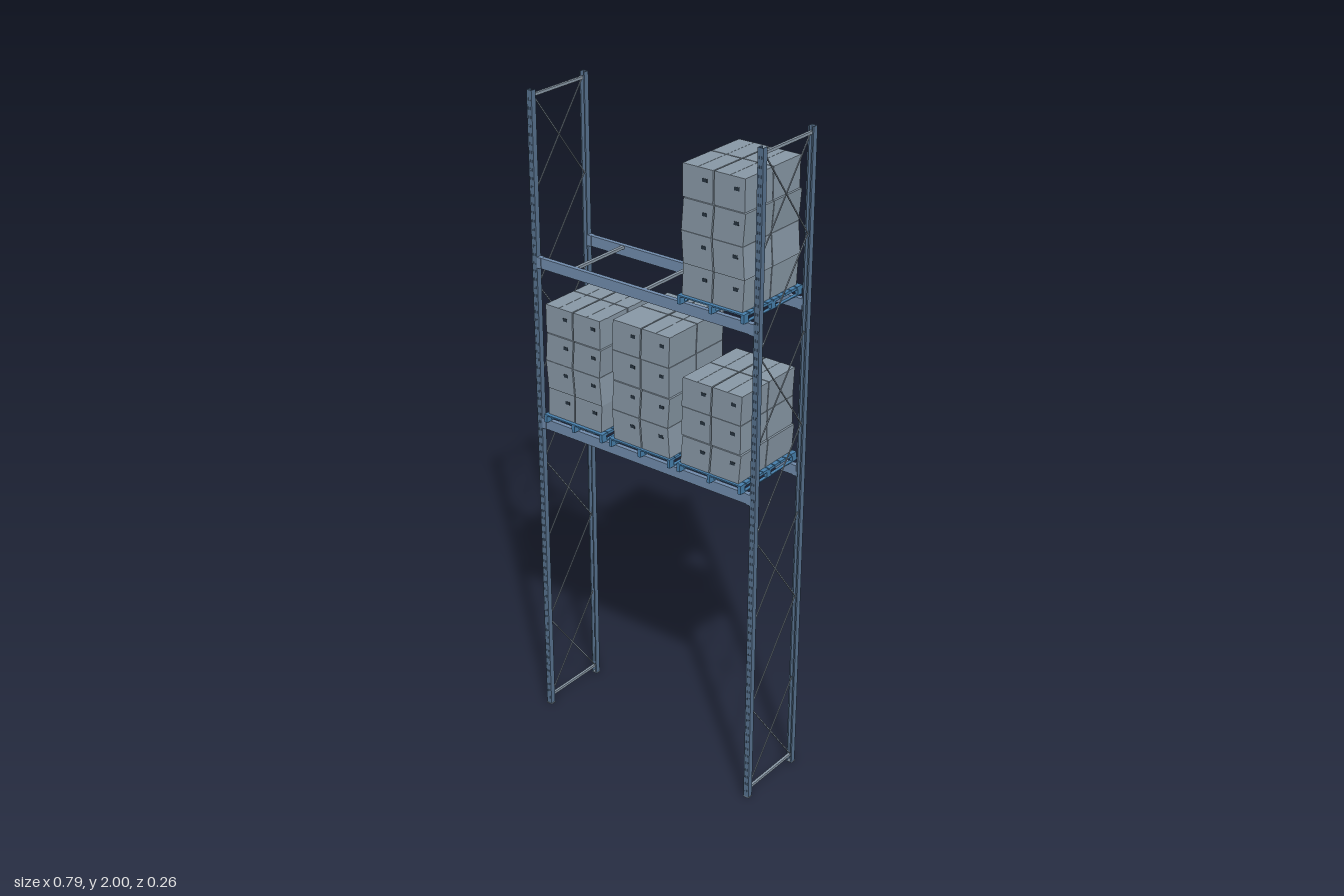
import * as THREE from 'three';
import { mergeGeometries } from 'three/addons/utils/BufferGeometryUtils.js';

function paint(color) {
  return new THREE.MeshStandardMaterial({ color, flatShading: true });
}
const uprightBlue = paint(0x57728f);
const beamBlue = paint(0x718cad);
const zinc = paint(0x8b9aa8);
const cartonGrey = paint(0x8999a7);
const palletBlue = paint(0x477fac);
const dark = paint(0x26333f);

// Box by size and centre
function box(w, h, d, x, y, z) {
  return new THREE.BoxGeometry(w, h, d).translate(x, y, z);
}

// Merge several geometries into one named mesh
function part(name, geometries, material) {
  const plain = geometries.map((g) => (g.index ? g.toNonIndexed() : g));
  const mesh = new THREE.Mesh(mergeGeometries(plain), material);
  mesh.name = name;
  return mesh;
}

// Thin bar between two points (y, z) in the plane x
function brace(x, y0, z0, y1, z1, w) {
  const len = Math.hypot(y1 - y0, z1 - z0);
  return new THREE.BoxGeometry(w, len, w)
    .rotateX(Math.atan2(z1 - z0, y1 - y0))
    .translate(x, (y0 + y1) / 2, (z0 + z1) / 2);
}

// Channel-shaped upright: slotted web to the outside and two lipped flanges
function upright(sx, sz) {
  const web = new THREE.Shape();
  web.moveTo(-0.009, 0);
  web.lineTo(0.009, 0);
  web.lineTo(0.009, 2);
  web.lineTo(-0.009, 2);
  for (let i = 0; i < 79; i++) {
    const y = 0.02 + i * 0.025;
    for (const x of [-0.0035, 0.0035]) {
      const slot = new THREE.Path();
      slot.moveTo(x - 0.0008, y);
      slot.lineTo(x - 0.0008, y + 0.008);
      slot.lineTo(x + 0.0008, y + 0.008);
      slot.lineTo(x + 0.0008, y);
      web.holes.push(slot);
    }
  }
  const plate = new THREE.ExtrudeGeometry(web, { depth: 0.002, bevelEnabled: false });
  plate.translate(0.386 * sx, 0, sz > 0 ? 0.116 : -0.118);
  const pieces = [plate];
  for (const s of [-1, 1]) {
    pieces.push(box(0.002, 2, 0.016, 0.386 * sx + 0.008 * s, 1, 0.109 * sz));
    pieces.push(box(0.004, 2, 0.002, 0.386 * sx + 0.007 * s, 1, 0.102 * sz));
  }
  return part('upright', pieces, uprightBlue);
}

// End frame: two uprights on foot plates, alternating crossed and single diagonals
function endFrame(sx) {
  const group = new THREE.Group();
  group.name = 'endFrame';
  group.add(upright(sx, 1), upright(sx, -1));
  const x = 0.386 * sx, step = 0.279, bars = [];
  for (const y of [0.028, 1.983]) bars.push(box(0.008, 0.008, 0.212, x, y, 0));
  for (let i = 0; i < 7; i++) {
    const y = 0.03 + i * step;
    bars.push(brace(x - 0.0015, y, 0.104, y + step, -0.104, 0.003));
    if (i % 2 === 0) bars.push(brace(x + 0.0015, y, -0.104, y + step, 0.104, 0.003));
  }
  const feet = [-1, 1].map((s) => box(0.02, 0.003, 0.017, x, 0.0015, 0.11 * s));
  group.add(part('frameBracing', bars, zinc), part('footPlates', feet, zinc));
  return group;
}

// Pair of load beams with end connectors and cross supports
function shelfLevel(top) {
  const group = new THREE.Group();
  group.name = 'shelfLevel';
  const beams = [], connectors = [], supports = [];
  for (const s of [-1, 1]) {
    beams.push(box(0.754, 0.032, 0.014, 0, top - 0.016, 0.109 * s));
    for (const sx of [-1, 1]) {
      connectors.push(box(0.014, 0.033, 0.018, 0.37 * sx, top - 0.016, 0.109 * s));
    }
  }
  for (const x of [-0.245, 0, 0.245]) {
    supports.push(box(0.01, 0.008, 0.206, x, top - 0.005, 0));
  }
  group.add(part('loadBeams', beams, beamBlue));
  group.add(part('beamConnectors', connectors, beamBlue));
  group.add(part('crossSupports', supports, zinc));
  return group;
}

// Pallet: deck slats, three stringer boards and nine blocks
function pallet() {
  const pieces = [];
  for (let i = 0; i < 10; i++) {
    pieces.push(box(0.22, 0.004, 0.0235, 0, 0.024, -0.12 + i * 0.0267));
  }
  for (const x of [-0.105, 0, 0.105]) {
    pieces.push(box(0.01, 0.004, 0.264, x, 0.02, 0));
    pieces.push(box(0.01, 0.003, 0.264, x, 0.0015, 0));
    for (const z of [-0.122, 0, 0.122]) {
      pieces.push(box(0.01, 0.017, 0.02, x, 0.0105, z));
    }
  }
  return part('pallet', pieces, palletBlue);
}

// Sideways lean of the stack at each layer: [bottom x, top x, bulge in z]
const lean = [
  [-0.002, 0.002, 0.000],
  [0.004, -0.003, 0.003],
  [-0.003, 0.004, 0.003],
  [-0.001, -0.001, 0.000],
];

// Shift the lower and upper vertices sideways to follow the lean
function shear(geometry, low, high, y0, h) {
  const p = geometry.attributes.position;
  for (let i = 0; i < p.count; i++) {
    const t = (p.getY(i) - y0) / h;
    p.setX(i, p.getX(i) + low + (high - low) * t);
  }
  return geometry;
}

// Two by two columns of cartons with a hand hole on each front face
function cartonStack(layers, h, phase) {
  const group = new THREE.Group();
  group.name = 'cartonStack';
  const boxes = [], holes = [], base = 0.026;
  for (let k = 0; k < layers; k++) {
    const [low, high, dz] = lean[(k + phase) % lean.length];
    const y = base + k * h;
    for (const sx of [-1, 1]) {
      const x = 0.051 * sx;
      for (const sz of [-1, 1]) {
        const z = (0.0615 + dz / 2) * sz, depth = 0.12 + dz;
        const body = box(0.098, h - 0.001, depth, x, y + h / 2, z);
        boxes.push(shear(body, low, high, y, h));
        // closed flaps with a seam along the middle
        if (k === layers - 1) {
          for (const f of [-1, 1]) {
            boxes.push(box(0.0485, 0.001, depth, x + high + 0.0247 * f, y + h - 0.0003, z));
          }
        }
      }
      const hole = box(0.016, 0.01, 0.001, x + 0.023, y + h * 0.65, 0.1217 + dz);
      holes.push(shear(hole, low, high, y, h));
    }
  }
  group.add(part('cartons', boxes, cartonGrey), part('handHoles', holes, dark));
  return group;
}

export function createModel() {
  const model = new THREE.Group();
  model.name = 'palletRack';
  model.add(endFrame(-1), endFrame(1));
  const levels = [1.013, 1.518];
  for (const y of levels) model.add(shelfLevel(y));

  // Loads: x, shelf, layers, carton height, lean phase
  const loads = [
    [-0.245, 0, 4, 0.0865, 0],
    [0, 0, 4, 0.0915, 1],
    [0.245, 0, 3, 0.0875, 2],
    [0.245, 1, 4, 0.0915, 0],
  ];
  for (const [x, shelf, layers, h, phase] of loads) {
    const load = new THREE.Group();
    load.name = 'palletLoad';
    load.add(pallet(), cartonStack(layers, h, phase));
    load.position.set(x, levels[shelf], 0);
    model.add(load);
  }
  return model;
}
